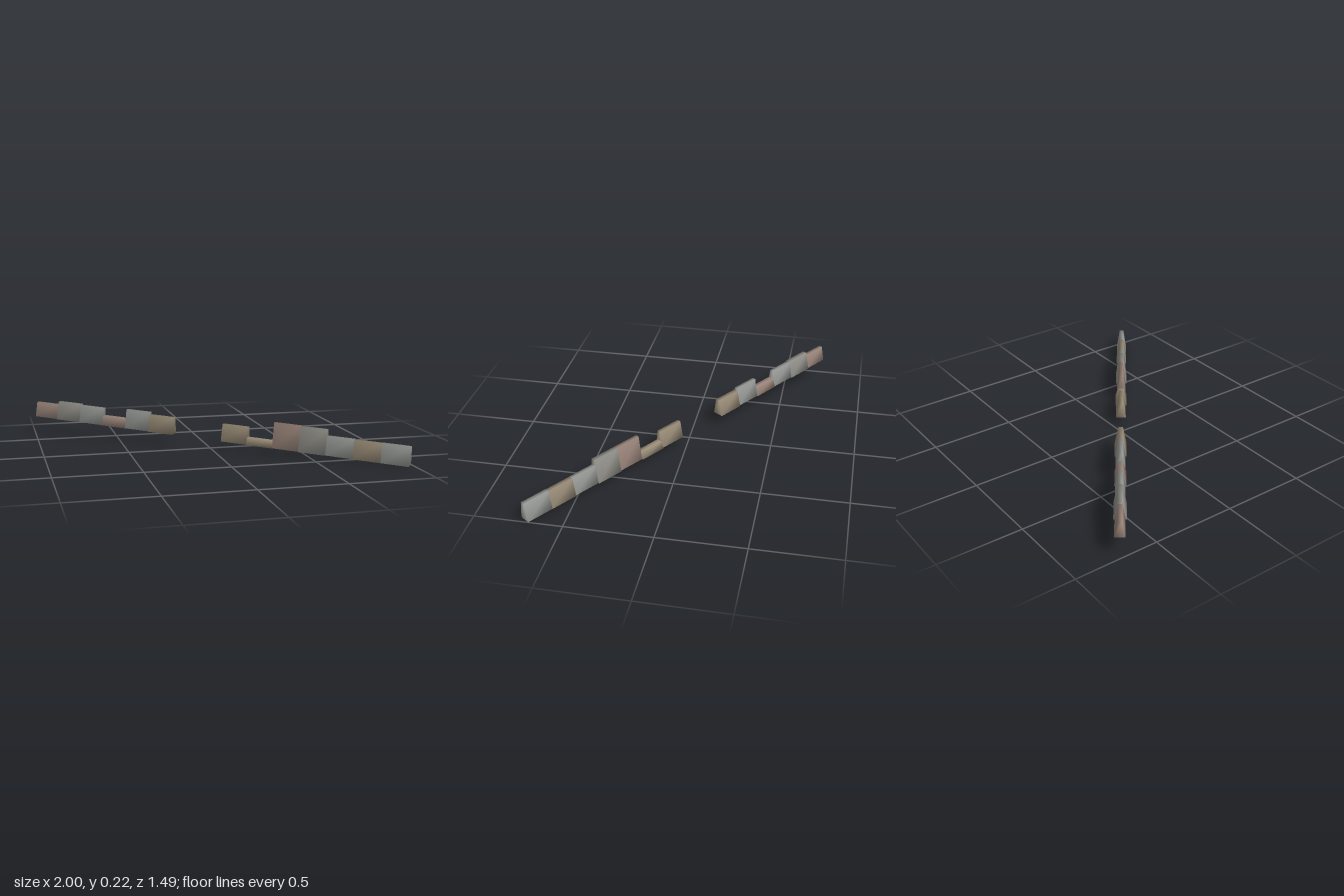
import * as THREE from 'three';
import { mergeVertices } from 'three/addons/utils/BufferGeometryUtils.js';

const SLOT = 0.1621; // length of one stone along the wall
const SLOTS = 15;
const TOP_RATIO = 0.4; // top thickness relative to the base

const PINK = 0x9c877c, TAN = 0x9a8d78, GREY = 0x94938c, PALE = 0x999c99;

// slot, height, base thickness, colour; slots 6 and 7 are the gap
const STONES = [
  [0, 0.092, 0.058, PINK],
  [1, 0.113, 0.070, GREY],
  [2, 0.107, 0.058, PALE],
  [3, 0.060, 0.066, PINK],
  [4, 0.118, 0.056, PALE],
  [5, 0.103, 0.070, TAN],
  [8, 0.104, 0.060, TAN],
  [9, 0.042, 0.072, TAN],
  [10, 0.152, 0.057, PINK],
  [11, 0.149, 0.070, GREY],
  [12, 0.113, 0.056, PALE],
  [13, 0.110, 0.066, TAN],
  [14, 0.112, 0.064, PALE],
];

// Block standing on y = 0, its long sides leaning in towards the top, corners shaded smoothly
function stoneGeometry(height, thickness) {
  const box = new THREE.BoxGeometry(SLOT, height, thickness);
  box.deleteAttribute('uv');
  box.deleteAttribute('normal');
  const geometry = mergeVertices(box);
  geometry.translate(0, height / 2, 0);
  const p = geometry.attributes.position;
  for (let i = 0; i < p.count; i++) {
    if (p.getY(i) > height / 2) p.setZ(i, p.getZ(i) * TOP_RATIO);
  }
  geometry.computeVertexNormals();
  return geometry;
}

export function createModel() {
  const model = new THREE.Group();
  model.name = 'stoneWall';

  // The wall runs diagonally and falls gently towards +x
  const row = new THREE.Group();
  row.name = 'stoneRow';
  row.rotation.set(0, -0.6325, -0.047, 'YZX');
  row.position.y = 0.0572;
  model.add(row);

  for (const [slot, height, thickness, color] of STONES) {
    const stone = new THREE.Mesh(
      stoneGeometry(height, thickness),
      new THREE.MeshStandardMaterial({ color })
    );
    stone.name = `stone${slot + 1}`;
    stone.position.x = (slot + 0.5 - SLOTS / 2) * SLOT;
    row.add(stone);
  }
  return model;
}
